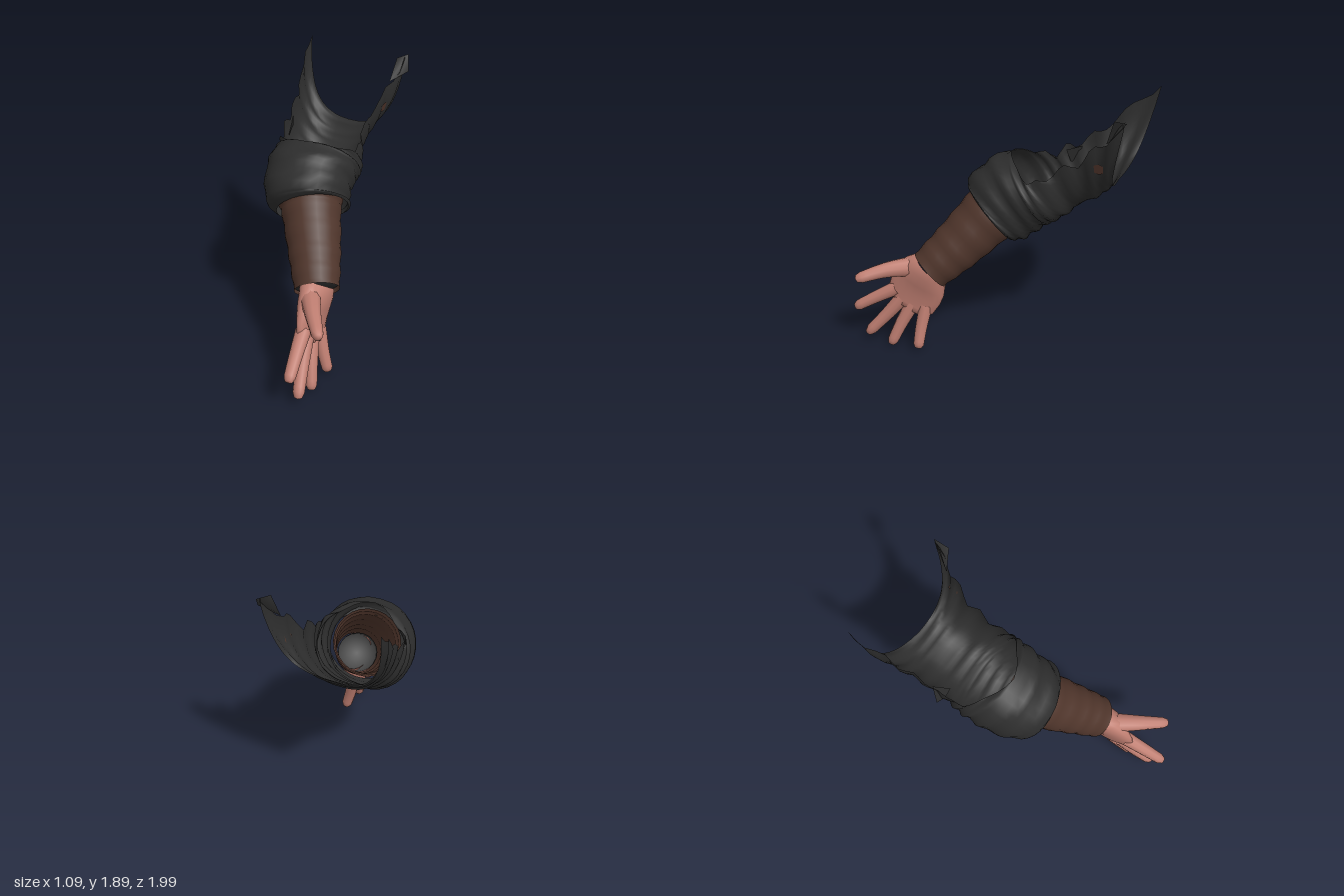
import * as THREE from 'three';
import { mergeVertices } from 'three/addons/utils/BufferGeometryUtils.js';

const V = (x, y, z) => new THREE.Vector3(x, y, z);
const cloth = new THREE.MeshStandardMaterial({ name: 'charcoalCloth', color: 0x2d2d2d, side: THREE.DoubleSide });
const leather = new THREE.MeshStandardMaterial({ name: 'brownLeather', color: 0x4f352b, side: THREE.DoubleSide });
const skin = new THREE.MeshStandardMaterial({ name: 'skin', color: 0xc07f72 });

// Skin a list of equally long point rows
function loft(rows) {
  const n = rows[0].length, pos = [], idx = [];
  rows.forEach(r => r.forEach(p => pos.push(p.x, p.y, p.z)));
  for (let i = 0; i < rows.length - 1; i++) {
    for (let j = 0; j < n - 1; j++) {
      const a = i * n + j, d = a + n;
      idx.push(a, a + 1, d, a + 1, d + 1, d);
    }
  }
  let g = new THREE.BufferGeometry();
  g.setAttribute('position', new THREE.Float32BufferAttribute(pos, 3));
  g.setIndex(idx);
  g = mergeVertices(g, 1e-4);
  g.computeVertexNormals();
  return g;
}

function ring(c, U, W, n) {
  return Array.from({ length: n + 1 }, (_, j) => {
    const a = (j % n) / n * Math.PI * 2;
    return c.clone().addScaledVector(U, Math.cos(a)).addScaledVector(W, Math.sin(a));
  });
}

// Round tube through points with a radius function of 0..1
function taperedTube(points, radius, steps, sides, capped) {
  const curve = new THREE.CatmullRomCurve3(points), rows = [];
  for (let i = 0; i <= steps; i++) {
    const t = i / steps, D = curve.getTangent(t);
    const U = V(0, -D.z, D.y).normalize();
    if (U.y < 0) U.negate();
    const W = D.clone().cross(U), r = radius(t);
    rows.push(ring(curve.getPoint(t), U.multiplyScalar(r), W.multiplyScalar(r), sides));
  }
  if (capped) rows.push(rows[0].map(() => curve.getPoint(1).addScaledVector(curve.getTangent(1), 0.008)));
  return loft(rows);
}

// Sleeve sections: centre x, half width, top z, top y, bottom z, bottom y, wrap angle, side skew
const SLEEVE = [
  [0.03, 0.25, 0.21, 1.20, -0.12, 0.84, Math.PI, 1],
  [-0.03, 0.28, 0.24, 1.25, -0.20, 0.86, Math.PI, 0.7],
  [-0.08, 0.31, 0.10, 1.40, -0.29, 0.93, Math.PI, 0.4],
  [-0.09, 0.32, -0.06, 1.47, -0.37, 1.00, Math.PI, 0.2],
  [-0.09, 0.32, -0.17, 1.41, -0.43, 1.04, 2.5, 0.1],
  [-0.10, 0.31, -0.29, 1.36, -0.51, 1.10, 1.75, 0],
  [-0.13, 0.30, -0.43, 1.45, -0.58, 1.17, 1.6, 0],
  [-0.14, 0.31, -0.60, 1.55, -0.70, 1.23, 1.6, 0],
  [-0.14, 0.36, -0.76, 1.71, -0.77, 1.30, 1.6, 0],
  [-0.13, 0.42, -0.93, 1.90, -0.82, 1.36, 1.57, -0.1],
];

// Point on the sleeve: t runs hem to shoulder, s runs -1..1 around the underside
function sleevePoint(t, s) {
  const i = Math.min(Math.floor(t), SLEEVE.length - 2), f = t - i;
  const [cx, w, tz, ty, bz, by, wrap, skew] = SLEEVE[i].map((v, k) => v + (SLEEVE[i + 1][k] - v) * f);
  const a = s * wrap, sn = Math.sin(a);
  const fold = t === 0 ? 0.94 : 1 + 0.035 * Math.sin(t * 6.3 + 2 * Math.cos(a * 1.5 + 0.4 * sn));
  const side = Math.sign(sn) * Math.pow(Math.abs(sn), 0.78 + 0.22 * skew) * w * fold;
  const up = 0.5 + ((1 - Math.cos(a)) / (1 - Math.cos(wrap)) - 0.5) * fold;
  const ragged = t > 4.5 && Math.abs(s) > 0.99 ? 0.03 * Math.sin(t * 5 + s) : 0;
  // The right flap trails further back at its end
  const trail = Math.max(0, t - 8) * Math.max(0, -side) * 0.12;
  return V(cx + side, by + (ty - by) * up + side * 0.33 * skew + ragged,
    bz + (tz - bz) * up - side * 0.3 * skew - trail);
}

export function createModel() {
  const model = new THREE.Group();
  const add = (name, geo, mat, parent = model) => {
    const m = new THREE.Mesh(geo, mat);
    m.name = name;
    parent.add(m);
    return m;
  };

  // Torn sleeve: closed at the elbow, an open trough toward the shoulder
  const rows = [];
  for (let i = 0; i <= 36; i++) {
    rows.push(Array.from({ length: 33 }, (_, j) => sleevePoint(i / 4, j / 16 - 1)));
  }
  add('tornSleeve', loft(rows), cloth);

  // Loose scraps on the torn edges
  add('leftScrap', loft([
    [V(0.24, 1.89, -0.84), V(0.29, 1.90, -0.93)],
    [V(0.21, 1.72, -0.79), V(0.33, 1.80, -0.85)]]), cloth);
  add('rightScrap', loft([
    [V(-0.36, 1.42, -0.38), V(-0.42, 1.44, -0.48)],
    [V(-0.41, 1.32, -0.40), V(-0.455, 1.27, -0.44)]]), cloth);

  // Small leather patch on the outside of the left flap
  const p = sleevePoint(7.85, 0.76);
  const n = sleevePoint(7.95, 0.76).sub(p).cross(sleevePoint(7.85, 0.82).sub(p)).normalize();
  if (n.x < 0) n.negate();
  const patch = add('sleevePatch', new THREE.CircleGeometry(0.04, 8), leather);
  patch.position.copy(p).addScaledVector(n, 0.01);
  patch.lookAt(patch.position.clone().add(n));

  // Wrapped leather forearm guard, tucked into the sleeve
  add('forearmGuard', taperedTube(
    [V(-0.01, 1.085, 0), V(0.03, 1.02, 0.06), V(0.16, 0.81, 0.25), V(0.275, 0.635, 0.425)],
    t => 0.24 - 0.085 * t + 0.004 * Math.sin(t * 38), 24, 24), leather);

  // Dark lining closing the wrist opening
  add('wristLining', taperedTube(
    [V(0.235, 0.69, 0.37), V(0.262, 0.648, 0.408)], t => 0.15 - 0.002 * t, 2, 20, true), cloth);

  // Palm: flattened cross-sections from wrist to knuckles
  // centre x, front z, front y, rear z, rear y, half thickness
  const hand = new THREE.Group();
  hand.name = 'hand';
  model.add(hand);
  const palm = [
    [0.265, 0.515, 0.745, 0.285, 0.58, 0.115],
    [0.285, 0.60, 0.715, 0.305, 0.53, 0.105],
    [0.29, 0.68, 0.625, 0.315, 0.45, 0.08],
    [0.295, 0.72, 0.54, 0.345, 0.375, 0.06],
    [0.305, 0.745, 0.45, 0.40, 0.29, 0.05],
    [0.315, 0.70, 0.385, 0.45, 0.265, 0.04],
    [0.315, 0.58, 0.31, 0.58, 0.31, 0],
  ];
  add('palm', loft(palm.map(([x, fz, fy, rz, ry, h]) => ring(
    V(x, (fy + ry) / 2, (fz + rz) / 2), V(0, (fy - ry) / 2, (fz - rz) / 2), V(-h, 0, 0), 20))), skin, hand);

  // Fingers: base, joint, tip and base radius
  const fingers = {
    thumb: [V(0.295, 0.65, 0.555), V(0.40, 0.645, 0.71), V(0.53, 0.61, 0.88), 0.072],
    indexFinger: [V(0.305, 0.46, 0.67), V(0.335, 0.375, 0.82), V(0.37, 0.275, 0.985), 0.054],
    middleFinger: [V(0.305, 0.39, 0.63), V(0.34, 0.24, 0.75), V(0.385, 0.08, 0.89), 0.054],
    ringFinger: [V(0.305, 0.36, 0.55), V(0.345, 0.19, 0.635), V(0.385, 0.025, 0.705), 0.053],
    littleFinger: [V(0.305, 0.36, 0.45), V(0.35, 0.19, 0.475), V(0.395, 0.04, 0.485), 0.05],
  };
  for (const [name, [base, joint, tip, r]] of Object.entries(fingers)) {
    const radius = t => t > 0.95 ? 0.027 : 0.039 + (r - 0.039) * (1 - t);
    add(name, taperedTube([base, joint, tip], radius, 12, 10, true), skin, hand);
  }
  return model;
}
